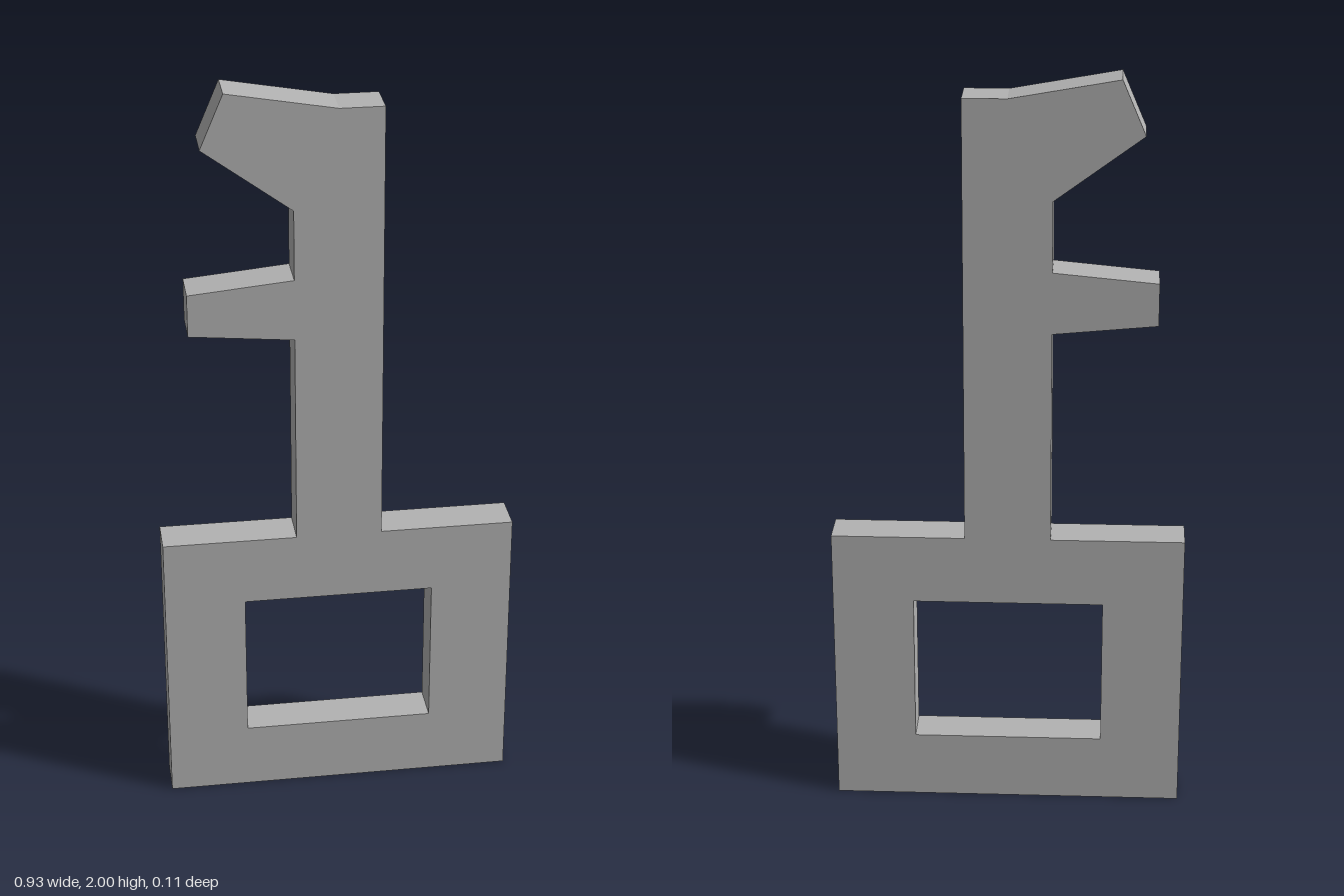
import * as THREE from 'three';

const DEPTH = 0.108;

export function createModel() {
  const group = new THREE.Group();
  group.name = 'key';

  const metal = new THREE.MeshStandardMaterial({ color: 0xb2b2b2 });
  metal.name = 'grey metal';

  const points = (list) => list.map(([x, y]) => new THREE.Vector2(x, y));

  // One continuous flat outline, counter-clockwise
  const outline = new THREE.Shape(points([
    // handle base and right shoulder
    [-0.465, 0], [0.465, 0], [0.465, 0.772], [0.113, 0.772],
    // shaft and its tip
    [0.113, 1.95], [0, 1.95],
    // upper hooked tooth
    [-0.28, 2], [-0.34, 1.86], [-0.113, 1.692],
    // lower tapered tooth
    [-0.113, 1.507], [-0.382, 1.482], [-0.382, 1.37], [-0.113, 1.344],
    // left shoulder
    [-0.113, 0.772], [-0.465, 0.772],
  ]));

  // Rectangular opening in the handle
  outline.holes.push(new THREE.Path(points([
    [-0.252, 0.181], [-0.252, 0.586], [0.25, 0.586], [0.25, 0.181],
  ])));

  const geometry = new THREE.ExtrudeGeometry(outline, { depth: DEPTH, bevelEnabled: false });
  geometry.translate(0, 0, -DEPTH / 2);

  const body = new THREE.Mesh(geometry, metal);
  body.name = 'keyBody';
  group.add(body);

  return group;
}
